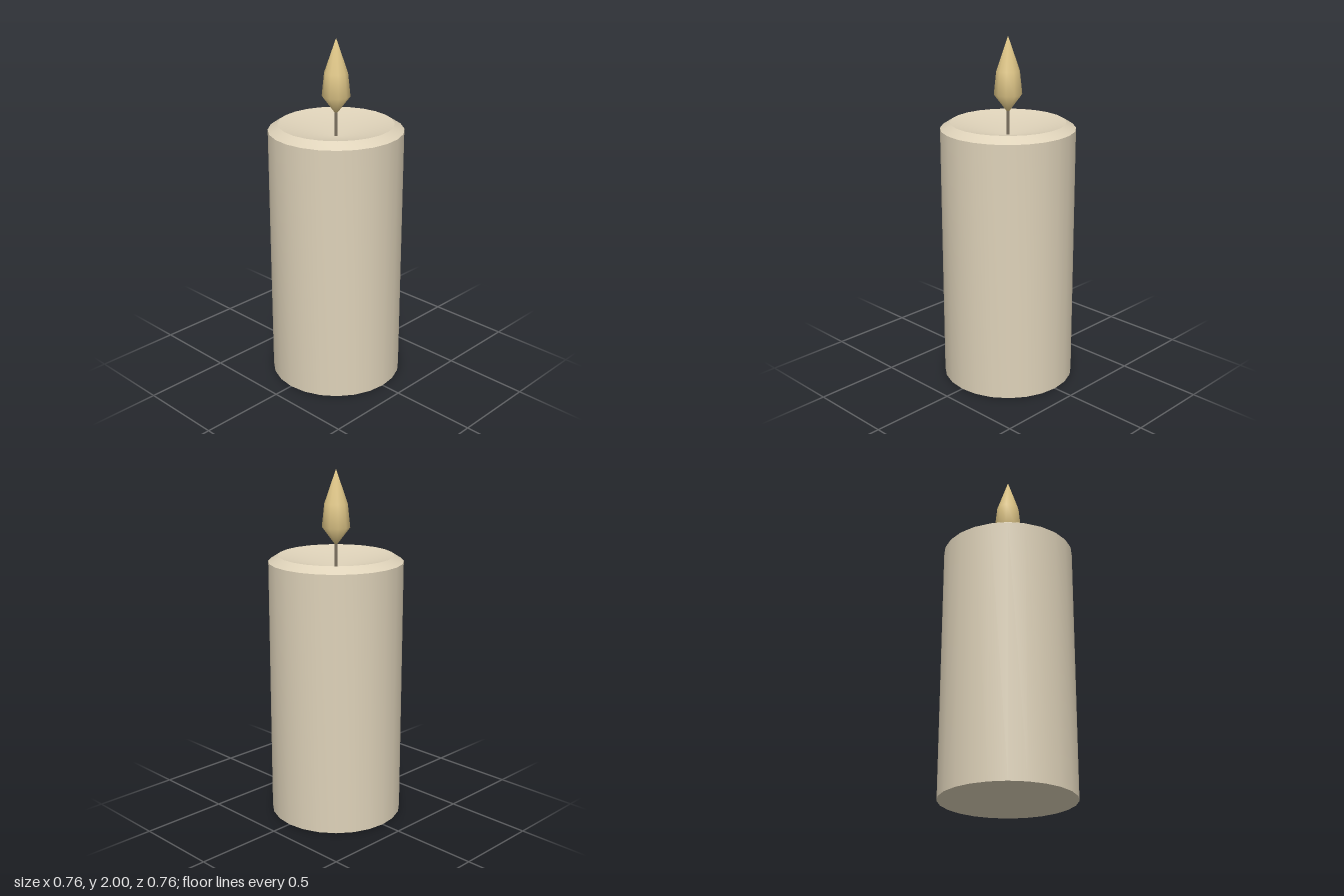
import * as THREE from 'three';
import { mergeVertices } from 'three/addons/utils/BufferGeometryUtils.js';

const wax = new THREE.MeshStandardMaterial({ color: 0xded2b9 });
wax.name = 'wax';
const flameYellow = new THREE.MeshStandardMaterial({ color: 0xe0c788 });
flameYellow.name = 'flameYellow';
const wickBrown = new THREE.MeshStandardMaterial({ color: 0x7d7261 });
wickBrown.name = 'wickBrown';

// Turned part with normals averaged over the whole surface, poles included
function turned(name, profile, sides, material, phiStart = 0) {
  const points = profile.map(([r, y]) => new THREE.Vector2(r, y));
  let geometry = new THREE.LatheGeometry(points, sides, phiStart);
  geometry.deleteAttribute('normal');
  geometry.deleteAttribute('uv');
  geometry = mergeVertices(geometry, 1e-5);
  geometry.computeVertexNormals();
  const mesh = new THREE.Mesh(geometry, material);
  mesh.name = name;
  return mesh;
}

export function createModel() {
  const candle = new THREE.Group();
  candle.name = 'candle';

  // Wax body: each band is its own part so the rims stay sharp
  const radius = 0.38, rimRadius = 0.325, shoulderY = 1.49, rimY = 1.525, dishY = 1.45;
  candle.add(
    turned('base', [[0, 0], [radius, 0]], 24, wax),
    turned('body', [[radius, 0], [radius, shoulderY]], 24, wax),
    turned('bevel', [[radius, shoulderY], [rimRadius, rimY]], 24, wax),
    turned('meltedDish', [[rimRadius, rimY], [0, dishY]], 24, wax)
  );

  // Wick, standing in the dish and reaching into the flame
  const wick = new THREE.Mesh(new THREE.CylinderGeometry(0.009, 0.009, 0.15, 8), wickBrown);
  wick.name = 'wick';
  wick.position.y = 1.52;
  candle.add(wick);

  // Teardrop flame
  const drop = [[0, 1.575], [0.08, 1.68], [0.066, 1.81], [0, 2]];
  candle.add(turned('flame', drop, 10, flameYellow, Math.PI / 2));

  return candle;
}
